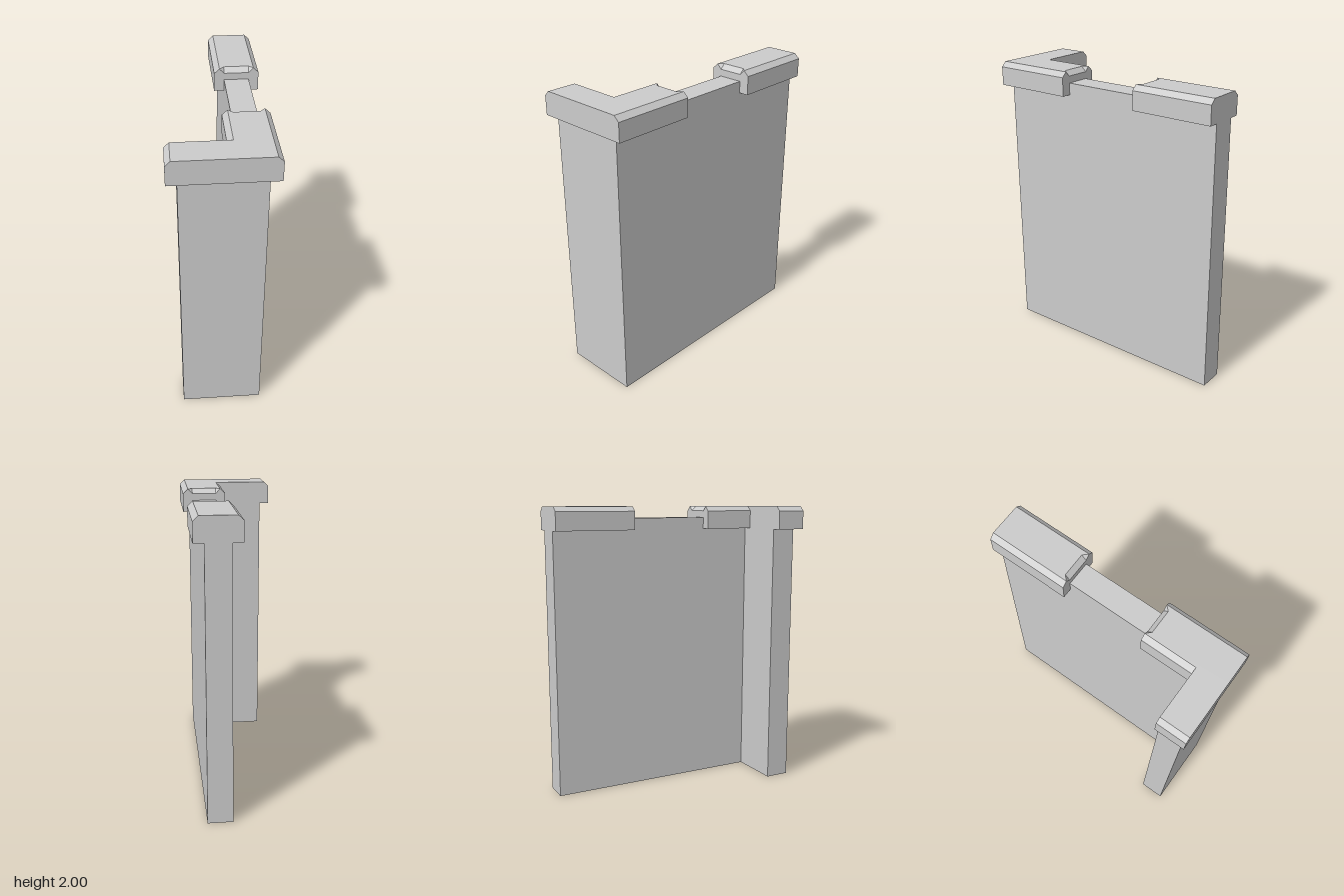
import * as THREE from 'three';

const material = new THREE.MeshStandardMaterial({ color: 0xcccccc, flatShading: true });
const vec = (points) => points.map(([x, y]) => new THREE.Vector2(x, y));

const CAP_X = 0.1835; // centre line of the long wall
const CAP_BOTTOM = 1.84, CAP_EDGE = 1.967, CAP_TOP = 2;
const NEAR = 0.288, NOTCH = 0.32, END = 0.855;

function part(name, geometry) {
  const mesh = new THREE.Mesh(geometry, material);
  mesh.name = name;
  return mesh;
}

// Cross-section of the coping; midY lowers the middle of the top
function copingSection(z, midY) {
  return [
    [-0.15, CAP_BOTTOM], [0.15, CAP_BOTTOM], [0.15, CAP_EDGE], [0.115, CAP_TOP],
    [0.0835, midY], [-0.0835, midY], [-0.115, CAP_TOP], [-0.15, CAP_EDGE],
  ].map(([x, y]) => [x, y, z]);
}

// Chamfered coping bar along z, with a bevelled notch in its near end
function copingGeometry() {
  const rings = [
    copingSection(NEAR, CAP_EDGE),
    copingSection(NOTCH, CAP_TOP),
    copingSection(END, CAP_TOP),
  ];
  const positions = [];
  const tri = (...corners) => corners.forEach((c) => positions.push(...c));
  for (let r = 0; r < rings.length - 1; r++) {
    const a = rings[r], b = rings[r + 1];
    for (let i = 0; i < a.length; i++) {
      const j = (i + 1) % a.length;
      // diagonals mirror left to right so the notch is symmetric
      if (i < 4) {
        tri(a[i], a[j], b[j]);
        tri(a[i], b[j], b[i]);
      } else {
        tri(a[i], a[j], b[i]);
        tri(a[j], b[j], b[i]);
      }
    }
  }
  // end faces
  const first = rings[0], last = rings[rings.length - 1];
  for (const [i, j, k] of THREE.ShapeUtils.triangulateShape(vec(first), [])) {
    tri(first[k], first[j], first[i]);
  }
  const outline = [0, 1, 2, 3, 6, 7].map((i) => last[i]);
  for (const [i, j, k] of THREE.ShapeUtils.triangulateShape(vec(outline), [])) {
    tri(outline[i], outline[j], outline[k]);
  }
  const geometry = new THREE.BufferGeometry();
  geometry.setAttribute('position', new THREE.Float32BufferAttribute(positions, 3));
  geometry.computeVertexNormals();
  return geometry;
}

export function createModel() {
  const model = new THREE.Group();
  model.name = 'cornerWall';

  // L-shaped wall: plan drawn in x and -z, raised along y
  const plan = new THREE.Shape(vec([
    [-0.267, -0.82], [0.267, -0.82], [0.267, END],
    [0.1, END], [0.1, -0.65], [-0.267, -0.65],
  ]));
  const wallGeometry = new THREE.ExtrudeGeometry(plan, { depth: 1.92, bevelEnabled: false });
  wallGeometry.rotateX(-Math.PI / 2);
  model.add(part('wall', wallGeometry));

  // Two coping bars, the back one turned to face the gap
  const bar = copingGeometry();
  const frontCoping = part('frontCoping', bar);
  const backCoping = part('backCoping', bar);
  frontCoping.position.x = backCoping.position.x = CAP_X;
  backCoping.rotation.y = Math.PI;
  model.add(frontCoping, backCoping);

  // Coping over the short return wall, chamfered at its free end
  const returnProfile = new THREE.Shape(vec([
    [-0.3335, CAP_BOTTOM], [0.0685, CAP_BOTTOM], [0.0685, CAP_TOP],
    [-0.3, CAP_TOP], [-0.3335, CAP_EDGE],
  ]));
  const returnGeometry = new THREE.ExtrudeGeometry(returnProfile, { depth: END - 0.65, bevelEnabled: false });
  returnGeometry.translate(0, 0, 0.65);
  model.add(part('returnCoping', returnGeometry));

  return model;
}
